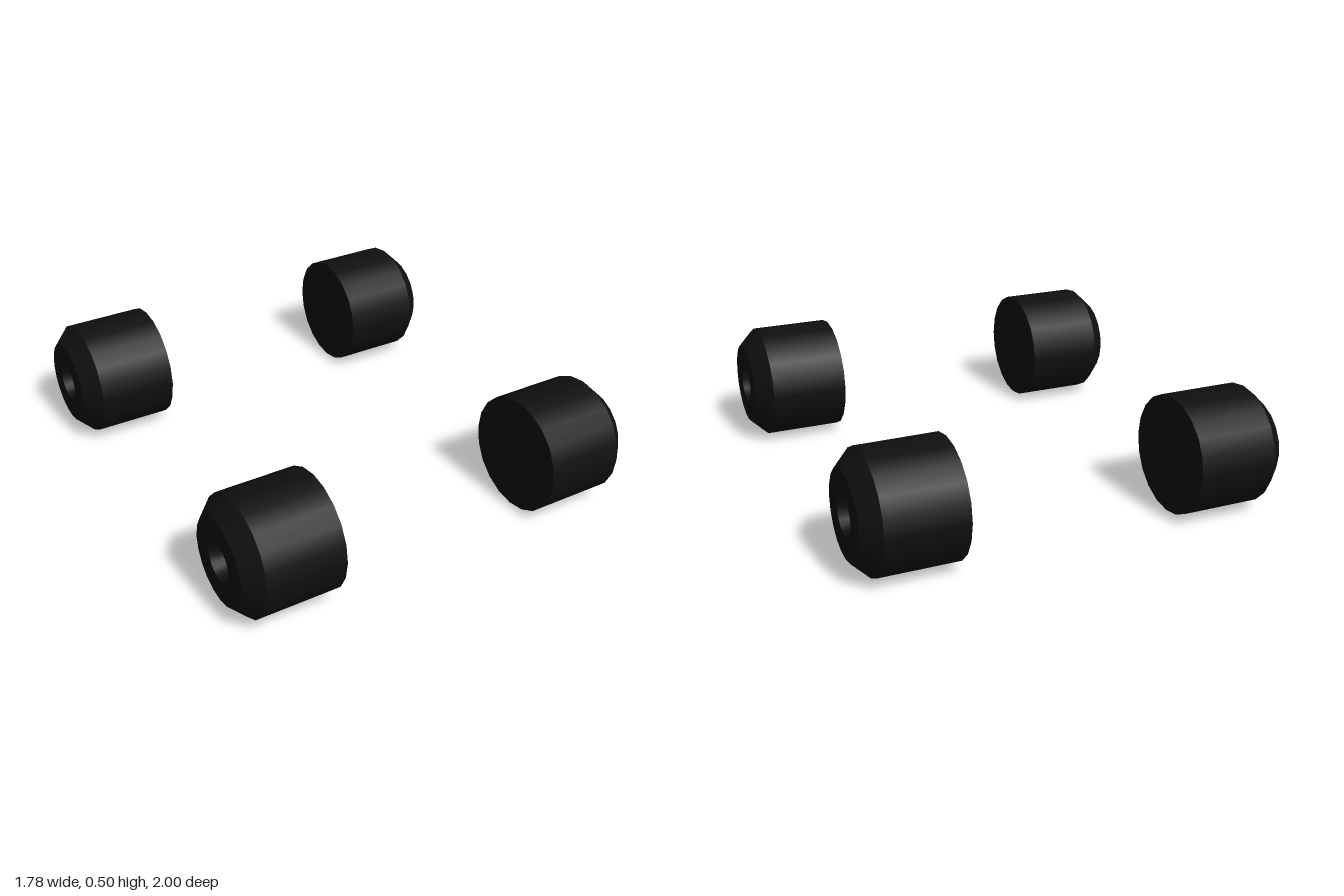
import * as THREE from 'three';

const SIDES = 20;
const RADIUS = 0.248;
const INNER_X = 0.485;

// Wheel profile as [radius, distance from the inner face]
const PROFILE = [
  [0, 0], [RADIUS, 0], [RADIUS, 0.335], [0.18, 0.405], [0.08, 0.405], [0.045, 0.29],
];
const HUB_PROFILE = [[0.045, 0.29], [0, 0.29]];

// One lathe per profile segment keeps the rims sharp and the rounds smooth
function addRings(group, name, profile, material) {
  for (let i = 0; i < profile.length - 1; i++) {
    const points = [profile[i], profile[i + 1]].map(([r, h]) => new THREE.Vector2(r, h));
    const geometry = new THREE.LatheGeometry(points, SIDES);
    geometry.rotateZ(-Math.PI / 2); // axle along +x
    const mesh = new THREE.Mesh(geometry, material);
    mesh.name = name;
    group.add(mesh);
  }
}

export function createModel() {
  const rubber = new THREE.MeshStandardMaterial({ color: 0x0f0f0f });
  rubber.name = 'black rubber';
  const metal = new THREE.MeshStandardMaterial({ color: 0x999999 });
  metal.name = 'grey metal';

  const model = new THREE.Group();
  model.name = 'wheelSet';

  for (const side of [1, -1]) {
    for (const end of [1, -1]) {
      const wheel = new THREE.Group();
      wheel.name = (end > 0 ? 'front' : 'back') + (side > 0 ? 'Left' : 'Right') + 'Wheel';
      addRings(wheel, 'tyre', PROFILE, rubber);
      addRings(wheel, 'hub', HUB_PROFILE, metal); // disc at the bottom of the recess
      wheel.position.set(side * INNER_X, RADIUS, end * 0.752);
      if (side < 0) wheel.rotation.y = Math.PI;
      model.add(wheel);
    }
  }
  return model;
}
